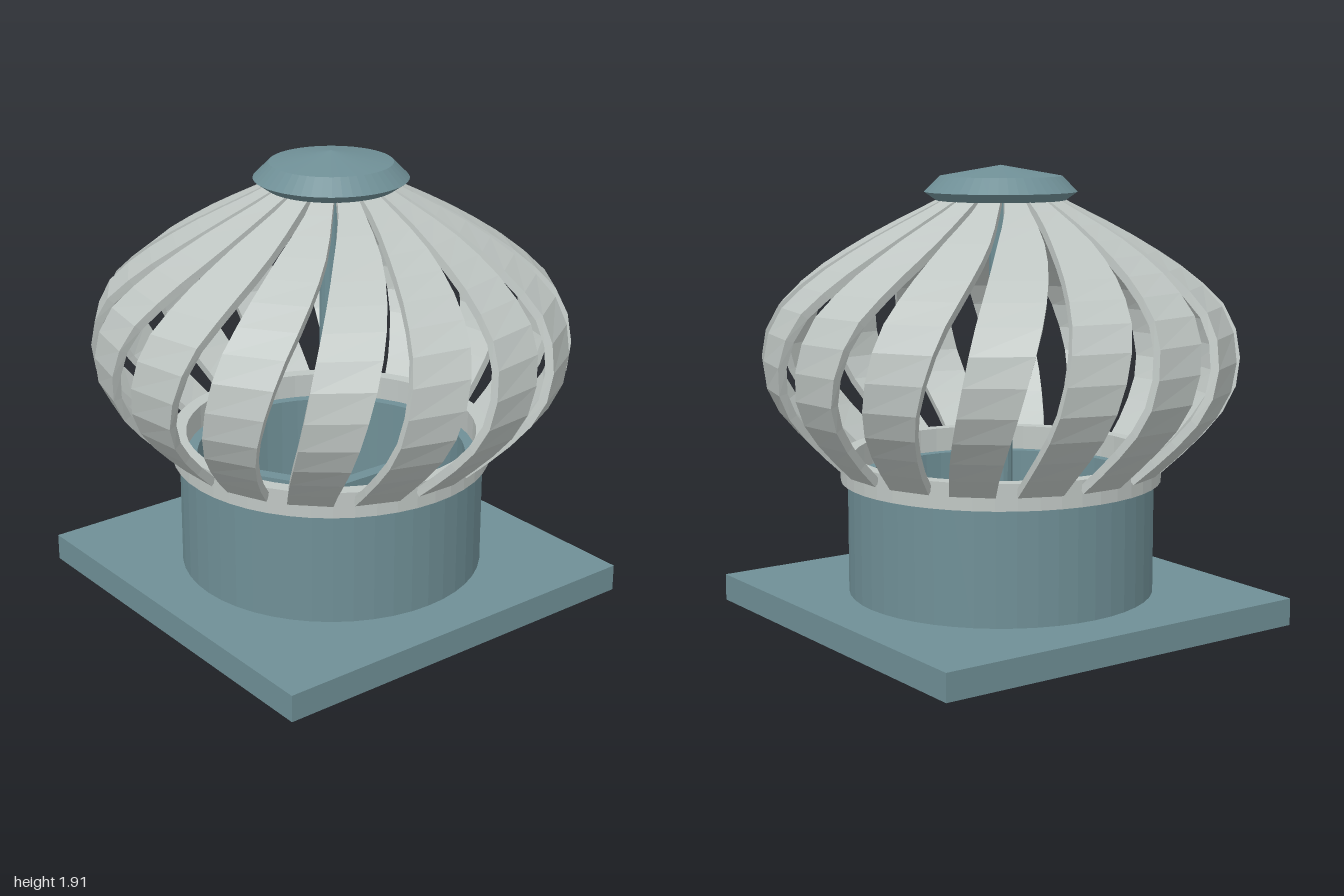
import * as THREE from 'three';

const SIDES = 48;
const VANES = 16;

export function createModel() {
  const model = new THREE.Group();
  model.name = 'turbineVent';
  const teal = new THREE.MeshStandardMaterial({ color: 0x6f8f96, flatShading: true });
  teal.name = 'tealPaint';
  const grey = new THREE.MeshStandardMaterial({ color: 0xbfc6c3, flatShading: true });
  grey.name = 'paleGreyMetal';

  const add = (name, geometry, material, parent = model) => {
    const mesh = new THREE.Mesh(geometry, material);
    mesh.name = name;
    parent.add(mesh);
    return mesh;
  };
  const lathe = (points) =>
    new THREE.LatheGeometry(points.map(([r, y]) => new THREE.Vector2(r, y)), SIDES);
  // Closed tube wall, profile running up the outside and down the inside
  const tube = (outer, inner, y0, y1) =>
    lathe([[inner, y0], [outer, y0], [outer, y1], [inner, y1], [inner, y0]]);

  // Square flange with a round opening
  const plate = new THREE.Shape();
  plate.moveTo(-0.87, -0.87).lineTo(0.87, -0.87).lineTo(0.87, 0.87).lineTo(-0.87, 0.87).closePath();
  plate.holes.push(new THREE.Path().absarc(0, 0, 0.59, 0, Math.PI * 2, true));
  const flange = new THREE.ExtrudeGeometry(plate, { depth: 0.115, bevelEnabled: false, curveSegments: SIDES });
  flange.rotateX(-Math.PI / 2);
  add('basePlate', flange, teal);

  // Duct collar and the rotating ring on top of it
  add('collar', tube(0.65, 0.575, 0.06, 0.6), teal);
  add('vaneRing', tube(0.68, 0.62, 0.595, 0.705), grey);

  // Central shaft and its three support struts
  const shaft = add('shaft', new THREE.CylinderGeometry(0.05, 0.05, 1.47, 16), teal);
  shaft.position.y = 1.075;
  const struts = new THREE.Group();
  struts.name = 'struts';
  model.add(struts);
  for (let i = 0; i < 3; i++) {
    const strut = new THREE.BoxGeometry(0.6, 0.06, 0.06);
    strut.translate(0.3, 0.4, 0);
    strut.rotateY((i * Math.PI * 2) / 3);
    add('strut', strut, teal, struts);
  }

  // Cap
  add('cap', lathe([[0, 1.77], [0.27, 1.77], [0.32, 1.805], [0.255, 1.87], [0, 1.915]]), teal);

  // Curved, twisted vanes: profile as (radius, height), bottom to top
  const profile = new THREE.CatmullRomCurve3(
    [[0.685, 0.65], [0.85, 0.81], [0.965, 0.97], [0.993, 1.13], [0.945, 1.31], [0.81, 1.45], [0.57, 1.61], [0.23, 1.79]]
      .map(([r, y]) => new THREE.Vector3(r, y, 0)));
  const widths = new THREE.SplineCurve(
    [[0, 0.185], [0.25, 0.225], [0.42, 0.25], [0.65, 0.2], [1, 0.08]].map(([t, w]) => new THREE.Vector2(t, w)));
  const THICKNESS = 0.035;
  const TWIST = THREE.MathUtils.degToRad(22.5);

  const vane = new THREE.BoxGeometry(1, 1, 1, 1, 14, 1);
  const pos = vane.attributes.position;
  for (let i = 0; i < pos.count; i++) {
    const t = THREE.MathUtils.clamp(pos.getY(i) + 0.5, 0, 1);
    const p = profile.getPointAt(t);
    const d = profile.getTangentAt(t);
    const inset = (pos.getZ(i) - 0.5) * THICKNESS;
    const r = p.x + d.y * inset;
    const y = p.y - d.x * inset;
    const side = pos.getX(i) * widths.getPoint(t).y;
    const a = -TWIST * (1 - t);
    pos.setXYZ(i, r * Math.sin(a) + side * Math.cos(a), y, r * Math.cos(a) - side * Math.sin(a));
  }
  vane.computeVertexNormals();

  const vanes = new THREE.Group();
  vanes.name = 'vanes';
  model.add(vanes);
  for (let i = 0; i < VANES; i++) {
    add('vane', vane, grey, vanes).rotation.y = (i * Math.PI * 2) / VANES;
  }
  return model;
}
